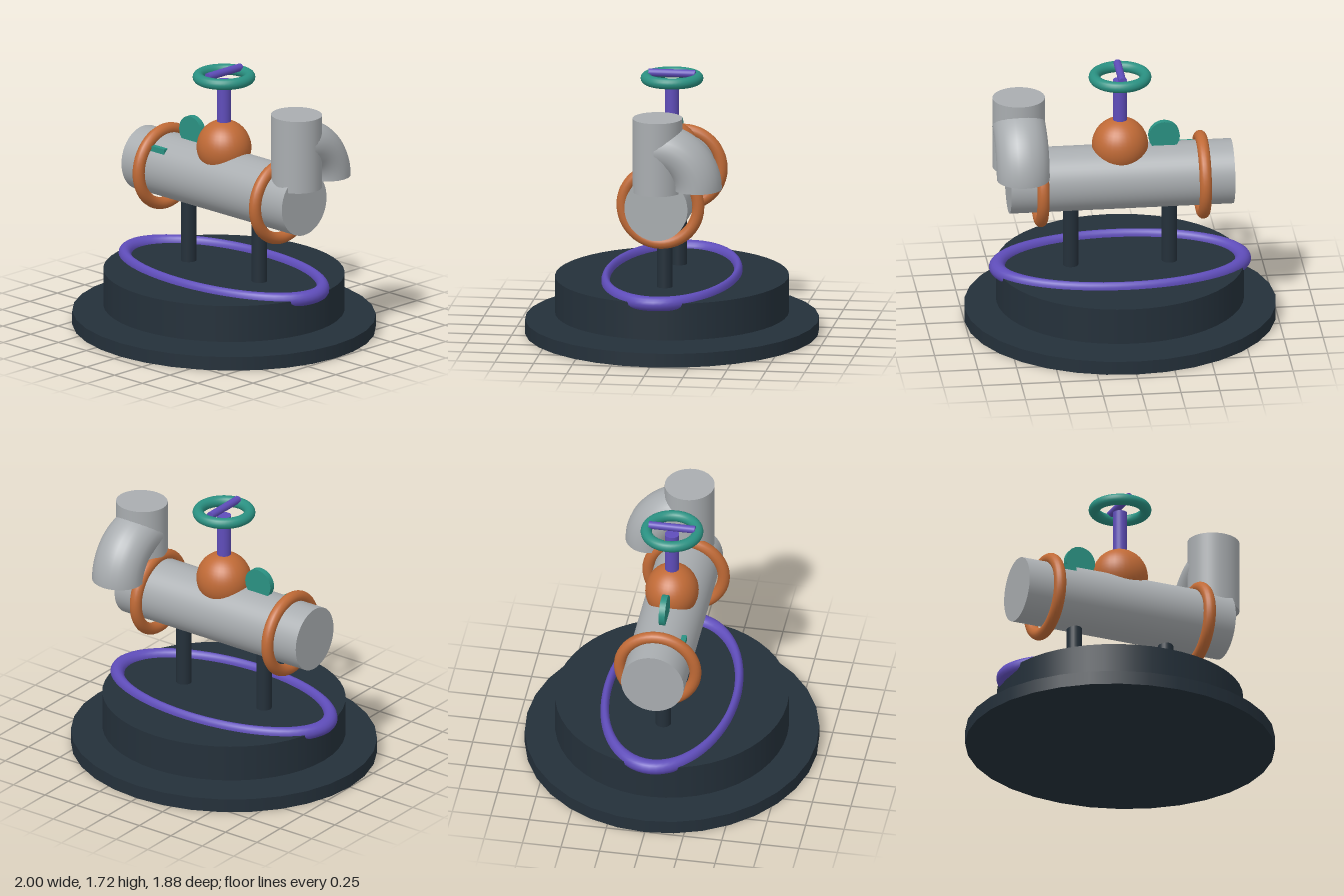
import * as THREE from 'three';

const material = (name, color, side = THREE.FrontSide) => {
  const m = new THREE.MeshStandardMaterial({ color, side });
  m.name = name;
  return m;
};

export function createModel() {
  const model = new THREE.Group();
  model.name = 'valveOnStand';

  const dark = material('dark slate', 0x24303a);
  const grey = material('pipe grey', 0xa9adb0, THREE.DoubleSide);
  const orange = material('copper orange', 0xc06a36);
  const purple = material('purple', 0x5f4dba);
  const teal = material('teal', 0x2a9182);

  const add = (name, geometry, mat, x = 0, y = 0, z = 0) => {
    const mesh = new THREE.Mesh(geometry, mat);
    mesh.name = name;
    mesh.position.set(x, y, z);
    model.add(mesh);
    return mesh;
  };
  const cylinder = (r, h, sides = 32) => new THREE.CylinderGeometry(r, r, h, sides);

  // Stand: flat foot, raised drum and two posts
  add('basePlate', cylinder(1, 0.09), dark, 0, 0.045).scale.z = 0.94;
  add('drum', cylinder(0.795, 0.24, 48), dark, 0, 0.25).scale.z = 0.94;
  for (const x of [-0.318, 0.318]) add('supportPost', cylinder(0.05, 0.72, 24), dark, x, 0.44);

  // Stretched hoop half sunk into the drum
  const hoop = new THREE.TorusGeometry(1, 0.065, 16, 64).rotateX(Math.PI / 2);
  add('baseHoop', hoop, purple, 0, 0.368).scale.set(0.791, 0.72, 0.414);

  // Main pipe and its two collars
  const pipe = cylinder(0.21, 1.44, 48).rotateZ(Math.PI / 2);
  add('mainPipe', pipe, grey, 0, 0.973).scale.z = 0.97;
  const collar = new THREE.TorusGeometry(0.245, 0.039, 16, 48).rotateY(Math.PI / 2);
  add('leftCollar', collar, orange, 0.52, 0.95);
  add('rightCollar', collar, orange, -0.525, 0.957);

  // Bonnet, stem and hand wheel
  add('bonnet', new THREE.SphereGeometry(0.18, 32, 24), orange, 0, 1.197).scale.z = 0.95;
  add('stem', cylinder(0.046, 0.34, 24), purple, 0, 1.475);
  add('handWheel', new THREE.TorusGeometry(0.165, 0.036, 16, 48).rotateX(Math.PI / 2), teal, 0, 1.666);
  add('wheelBar', cylinder(0.025, 0.3, 16).rotateX(Math.PI / 2), purple, 0, 1.698);

  // Upright outlet with a quarter bend turning down at the back
  add('outletPipe', cylinder(0.168, 0.48, 40), grey, 0.652, 1.316).scale.z = 0.95;
  const bend = new THREE.TorusGeometry(0.26, 0.155, 24, 24, Math.PI / 2).rotateY(Math.PI / 2);
  add('outletBend', bend, grey, 0.652, 1.1).scale.x = 1.1;

  // Gauge disc and small tag on the pipe
  add('gauge', cylinder(0.1, 0.04).rotateX(Math.PI / 2), teal, -0.283, 1.243);
  add('tag', new THREE.BoxGeometry(0.125, 0.04, 0.05), teal, -0.438, 1.113, 0.139);

  return model;
}
